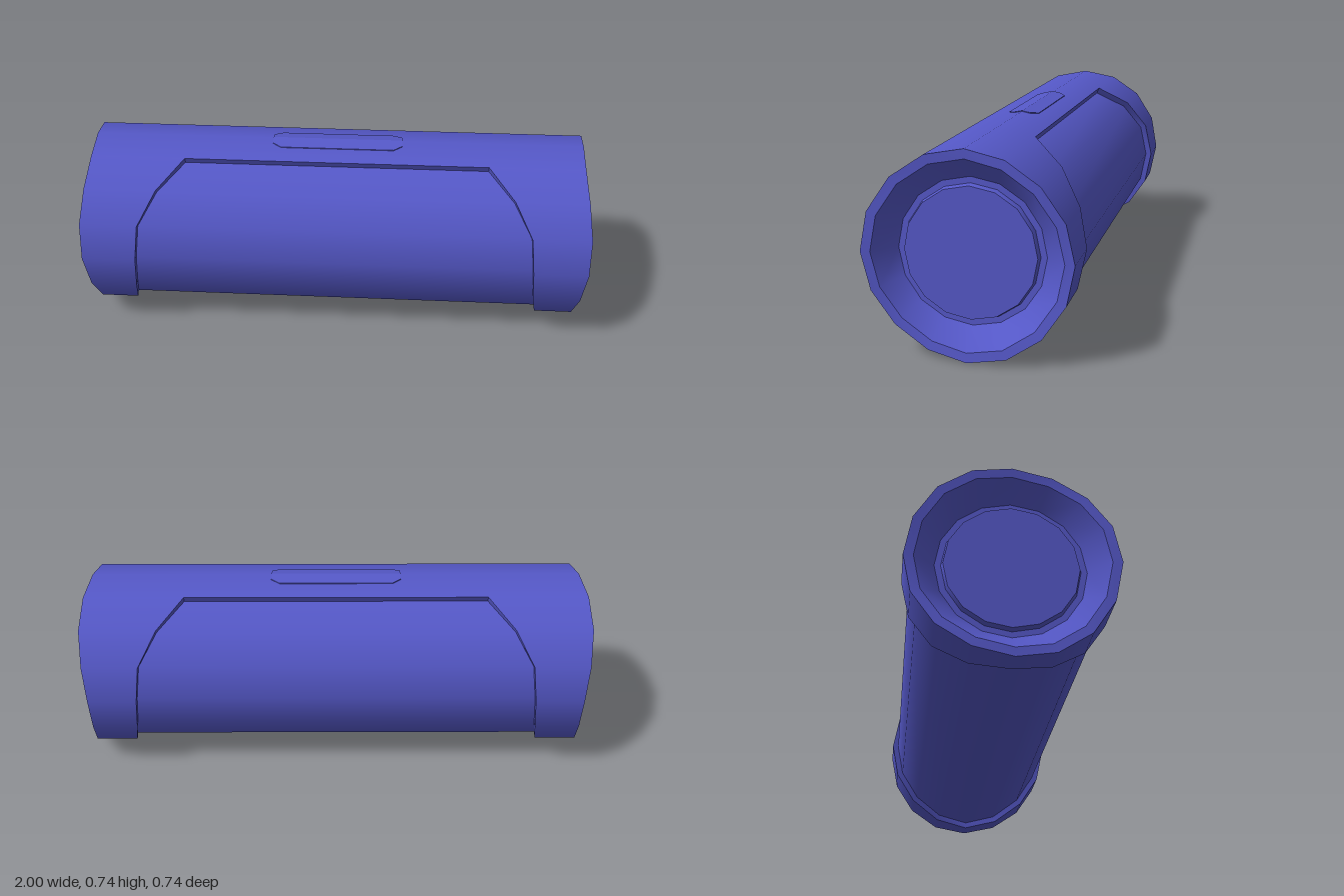
import * as THREE from 'three';

const SIDES = 16, R = 0.37, INNER = 0.345, CY = 0.37;
const material = new THREE.MeshStandardMaterial({ color: 0x5558c8, side: THREE.DoubleSide });

// angle 0 faces the front, a quarter turn is the top
const angle = (i) => (i / SIDES) * Math.PI * 2;
const point = (x, r, i) => [x, CY + r * Math.sin(angle(i)), r * Math.cos(angle(i))];

// gently wavy outer end of the shell, three lobes round the rim
const rimX = (i) => 0.9875 + 0.0125 * Math.cos(3 * (angle(i) - THREE.MathUtils.degToRad(10)));

// edge of the grille opening, listed from the bottom corner to the top corner
const CUT = [0.9, 0.87, 0.825, 0.8, 0.785, 0.77, 0.7, 0.6, 0.6];
const cutX = (i) => CUT[Math.round(Math.asin(Math.sin(angle(i))) / (Math.PI * 2) * SIDES) + 4];

// strip of quads between two rows of points; side -1 mirrors it in x
function strip(name, rowA, rowB, side = 1, radial = false) {
  const pos = [], index = [], n = rowA.length;
  for (const row of [rowA, rowB]) for (const p of row) pos.push(p[0] * side, p[1], p[2]);
  for (let i = 0; i < n - 1; i++) {
    const a = i, b = n + i, c = n + i + 1, d = i + 1;
    if (side > 0) index.push(a, b, c, a, c, d);
    else index.push(a, c, b, a, d, c);
  }
  const g = new THREE.BufferGeometry();
  g.setAttribute('position', new THREE.Float32BufferAttribute(pos, 3));
  g.setIndex(index);
  g.computeVertexNormals();
  const normal = g.attributes.normal, p = g.attributes.position;
  if (radial) {
    for (let i = 0; i < p.count; i++) {
      const v = new THREE.Vector3(0, p.getY(i) - CY, p.getZ(i)).normalize();
      normal.setXYZ(i, v.x, v.y, v.z);
    }
  } else if (n === SIDES + 1) {
    // smooth the seam of a closed ring
    for (const k of [0, n]) {
      const v = new THREE.Vector3().fromBufferAttribute(normal, k)
        .add(new THREE.Vector3().fromBufferAttribute(normal, k + n - 1)).normalize();
      normal.setXYZ(k, v.x, v.y, v.z);
      normal.setXYZ(k + n - 1, v.x, v.y, v.z);
    }
  }
  const mesh = new THREE.Mesh(g, material);
  mesh.name = name;
  return mesh;
}

// row of points round the axis; x may be a number or a rule
function row(x, r, from = 0, to = SIDES) {
  const out = [];
  for (let i = from; i <= to; i++) out.push(point(typeof x === 'function' ? x(i) : x, r, i));
  return out;
}

function createEnd(side) {
  const end = new THREE.Group();
  end.name = side > 0 ? 'leftEnd' : 'rightEnd';
  // collar and the step down to the grille
  end.add(strip('collar', row(cutX, R), row(rimX, R), side, true));
  end.add(strip('collarStep', row(cutX, INNER, 5, 19), row(cutX, R, 5, 19), side));
  // rim, funnel, and the raised round plate inside it
  const rings = [
    ['rim', rimX, R], ['funnel', (i) => rimX(i) - 0.003, 0.335], ['seat', 0.915, 0.263],
    ['plateEdge', 0.915, 0.241], ['plate', 0.935, 0.235], ['', 0.935, 0],
  ];
  for (let k = 0; k < rings.length - 1; k++) {
    const [name, x, r] = rings[k], [, x2, r2] = rings[k + 1];
    end.add(strip(name, row(x, r), row(x2, r2), side));
  }
  return end;
}

// control panel: two chamfered halves that follow the slope of the top
function createPanel() {
  const panel = new THREE.Group();
  panel.name = 'controlPanel';
  const half = [[-0.26, 0], [0.26, 0], [0.26, 0.035], [0.225, 0.06], [-0.225, 0.06], [-0.26, 0.035]];
  const slope = Math.tan(Math.PI / SIDES);
  for (const s of [1, -1]) {
    const shape = new THREE.Shape(half.map(([x, z]) => new THREE.Vector2(x, -z * s)));
    const g = new THREE.ExtrudeGeometry(shape, { depth: 0.006, bevelEnabled: false });
    g.rotateX(-Math.PI / 2);
    const p = g.attributes.position;
    for (let i = 0; i < p.count; i++) p.setY(i, p.getY(i) + CY + R - 0.003 - Math.abs(p.getZ(i)) * slope);
    g.computeVertexNormals();
    const mesh = new THREE.Mesh(g, material);
    mesh.name = 'panelHalf';
    panel.add(mesh);
  }
  return panel;
}

export function createModel() {
  const model = new THREE.Group();
  model.name = 'portableSpeaker';
  model.add(createEnd(1), createEnd(-1));

  // top bridge of the shell with its two side steps
  model.add(strip('topBridge', row(-0.6, R, 3, 5), row(0.6, R, 3, 5), 1, true));
  for (const [i, s] of [[3, 1], [5, -1]]) {
    model.add(strip('bridgeStep',
      [point(-0.6 * s, INNER, i), point(-0.6 * s, R, i)],
      [point(0.6 * s, INNER, i), point(0.6 * s, R, i)]));
  }

  // recessed grille wrapped round the body
  model.add(strip('grille', row(-0.91, INNER), row(0.91, INNER), 1, true));
  model.add(createPanel());
  return model;
}
